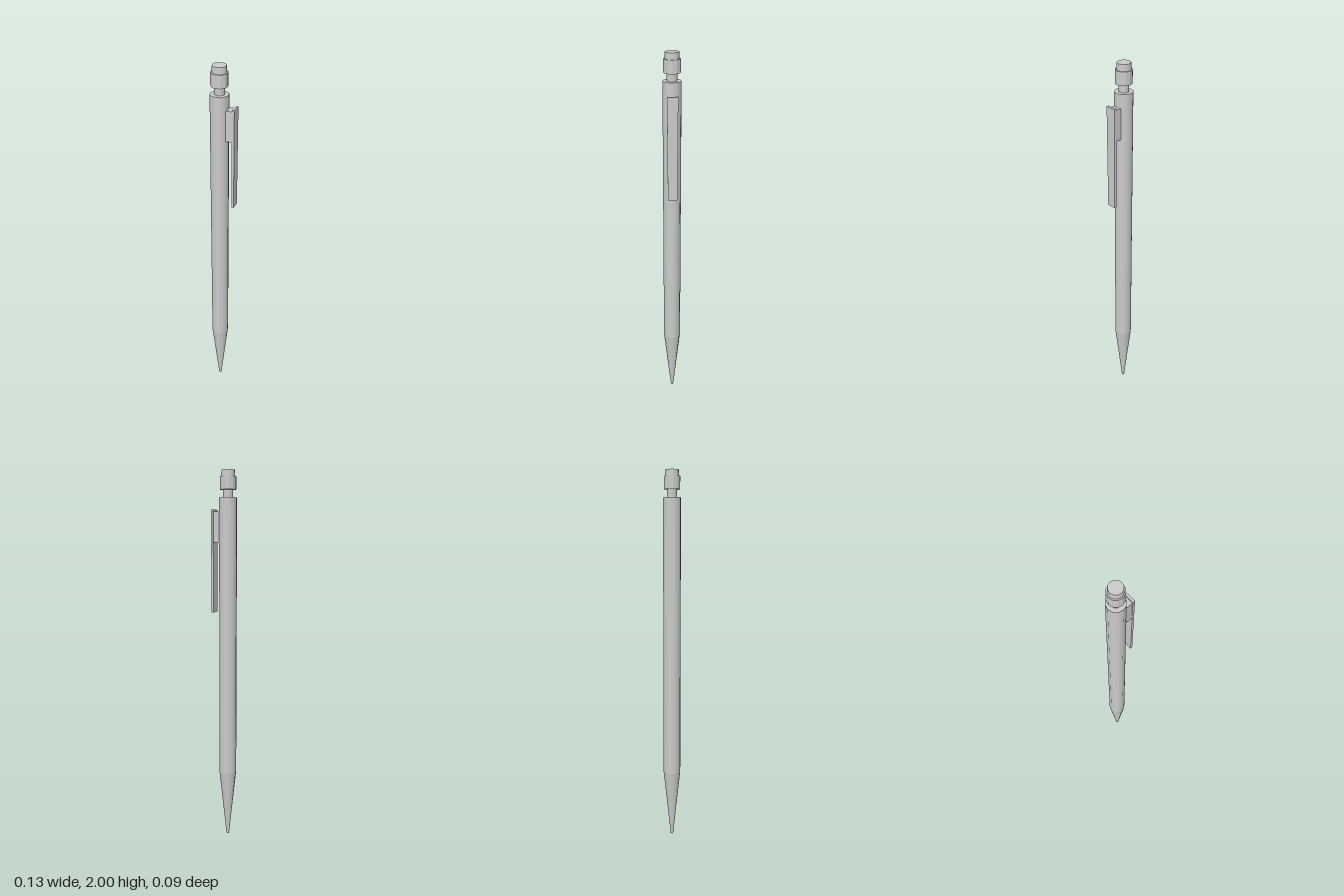
import * as THREE from 'three';

const SIDES = 12;
const AXIS_X = -0.02; // barrel sits left of centre to balance the clip

export function createModel() {
  const model = new THREE.Group();
  model.name = 'mechanicalPencil';
  const smooth = new THREE.MeshStandardMaterial({ color: 0xcccccc });
  const flat = new THREE.MeshStandardMaterial({ color: 0xcccccc, flatShading: true });

  const add = (name, geometry, material, x, y) => {
    const mesh = new THREE.Mesh(geometry, material);
    mesh.name = name;
    mesh.position.set(x, y, 0);
    model.add(mesh);
  };

  // Round section between two heights, closed at both ends
  const section = (name, y0, y1, r0, r1, material = smooth) =>
    add(name, new THREE.CylinderGeometry(r1, r0, y1 - y0, SIDES), material, AXIS_X, (y0 + y1) / 2);

  // Writing end and barrel
  section('tip', 0, 0.37, 0.007, 0.047);
  section('barrel', 0.37, 1.86, 0.047, 0.047);

  // Push button: neck, faceted collar, eraser
  section('buttonNeck', 1.86, 1.9, 0.026, 0.026);
  section('buttonCollar', 1.9, 1.967, 0.043, 0.043, flat);
  section('eraser', 1.967, 2, 0.037, 0.035);

  // Pocket clip: mounting block and blade, blade narrowing slightly downward
  add('clipMount', new THREE.BoxGeometry(0.04, 0.16, 0.048), flat, 0.035, 1.71);
  const blade = new THREE.BoxGeometry(0.012, 0.54, 0.055);
  const pos = blade.attributes.position;
  for (let i = 0; i < pos.count; i++) {
    if (pos.getY(i) < 0) pos.setZ(i, pos.getZ(i) * 0.88);
  }
  blade.computeVertexNormals();
  add('clipBlade', blade, flat, 0.06, 1.53);

  return model;
}
